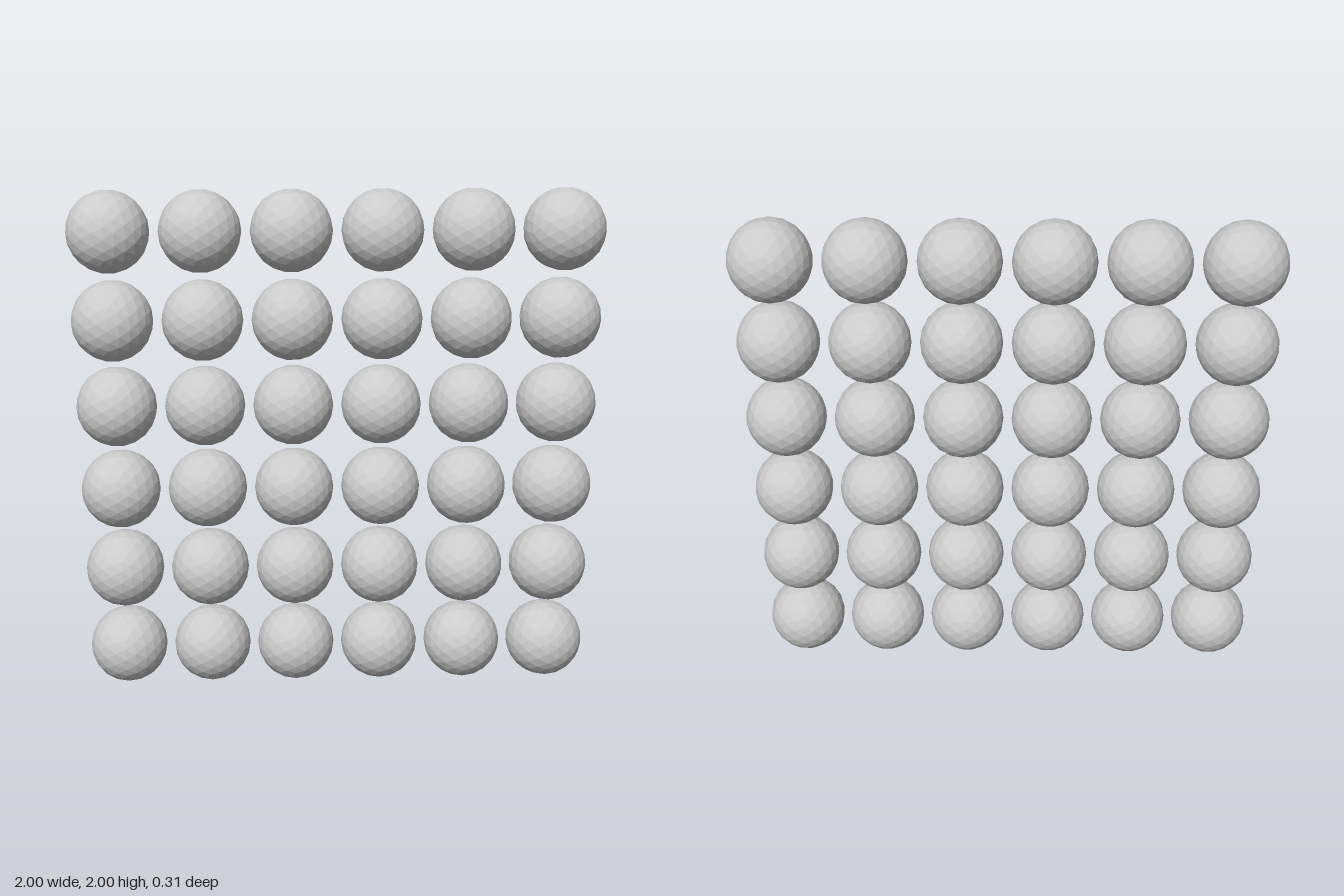
import * as THREE from 'three';

const COUNT = 6;                  // balls per row and per column
const RADIUS = 1 / 6.5;           // six diameters plus five gaps span 2 units
const PITCH = RADIUS * 2.2;       // distance between ball centres

export function createModel() {
  const model = new THREE.Group();
  model.name = 'ballGrid';

  // One faceted ball shared by the whole grid
  const ballGeometry = new THREE.IcosahedronGeometry(RADIUS, 3);
  const material = new THREE.MeshStandardMaterial({ color: 0xcccccc, flatShading: true });

  // Upright square grid, built row by row from the ground
  for (let r = 0; r < COUNT; r++) {
    const row = new THREE.Group();
    row.name = `row${r + 1}`;
    row.position.y = RADIUS + r * PITCH;
    for (let c = 0; c < COUNT; c++) {
      const ball = new THREE.Mesh(ballGeometry, material);
      ball.name = `ball${c + 1}`;
      ball.position.x = (c - (COUNT - 1) / 2) * PITCH;
      row.add(ball);
    }
    model.add(row);
  }
  return model;
}
